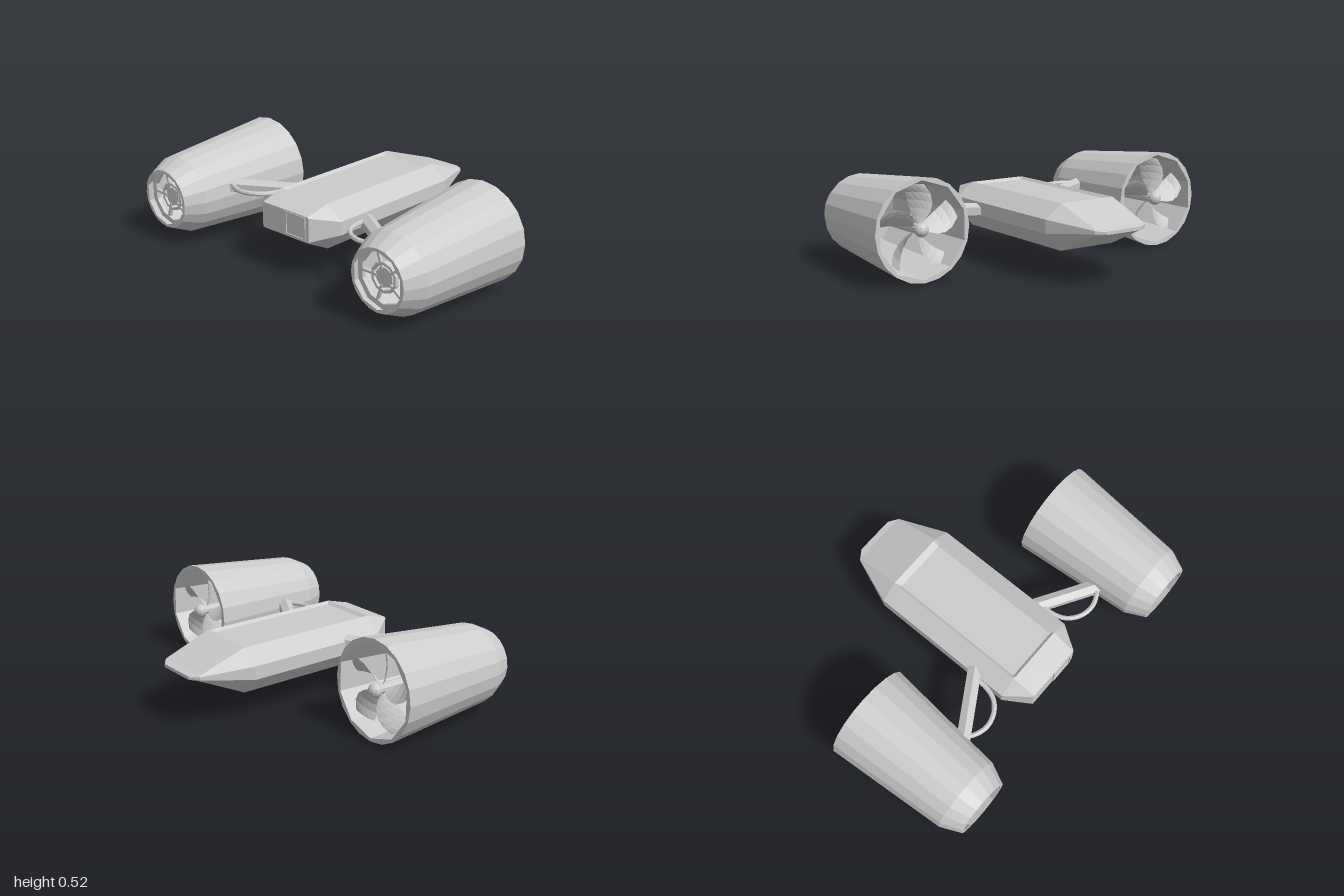
import * as THREE from 'three';

const material = new THREE.MeshStandardMaterial({ color: 0xcccccc, flatShading: true, side: THREE.DoubleSide });

function add(parent, name, geometry, x = 0, y = 0, z = 0) {
  const mesh = new THREE.Mesh(geometry, material);
  mesh.name = name;
  mesh.position.set(x, y, z);
  parent.add(mesh);
  return mesh;
}

// Cross-section of the hull: bevelled box with a sunken strip along the top
function section(z, side, top, yTop, yHigh, yLow, yBottom, inset = 0) {
  const f = top - 0.014, yf = yTop - inset;
  return [[side, yLow], [side, yHigh], [top, yTop], [f, yf], [-f, yf], [-top, yTop],
    [-side, yHigh], [-side, yLow], [-top, yBottom], [top, yBottom]].map(([x, y]) => [x, y, z]);
}

function loft(sections) {
  const p = [];
  const n = sections[0].length;
  for (let s = 0; s < sections.length - 1; s++) {
    const a = sections[s], b = sections[s + 1];
    for (let i = 0; i < n; i++) {
      const j = (i + 1) % n;
      p.push(...a[i], ...b[i], ...b[j], ...a[i], ...b[j], ...a[j]);
    }
  }
  const first = sections[0], last = sections[sections.length - 1];
  for (let i = 1; i < n - 1; i++) {
    p.push(...first[0], ...first[i], ...first[i + 1]);
    p.push(...last[0], ...last[i + 1], ...last[i]);
  }
  const g = new THREE.BufferGeometry();
  g.setAttribute('position', new THREE.Float32BufferAttribute(p, 3));
  g.computeVertexNormals();
  return g;
}

function polygon(radius, sides) {
  return Array.from({ length: sides }, (_, i) => {
    const a = (i / sides) * Math.PI * 2;
    return new THREE.Vector2(Math.sin(a) * radius, Math.cos(a) * radius);
  });
}

// Flat or extruded ring lying across the z axis
function ring(rOuter, nOuter, rInner, nInner, depth = 0) {
  const shape = new THREE.Shape(polygon(rOuter, nOuter));
  shape.holes.push(new THREE.Path(polygon(rInner, nInner)));
  return depth ? new THREE.ExtrudeGeometry(shape, { depth, bevelEnabled: false }) : new THREE.ShapeGeometry(shape);
}

// Surface of revolution around z, profile given as [radius, z]
function turned(profile, sides) {
  return new THREE.LatheGeometry(profile.map(([r, z]) => new THREE.Vector2(r, z)), sides).rotateX(Math.PI / 2);
}

// Fan blade: widens outward, with pitch easing off toward the tip
function blade() {
  const g = new THREE.PlaneGeometry(1, 1, 4, 5);
  const p = g.attributes.position;
  for (let i = 0; i < p.count; i++) {
    const u = p.getX(i), t = p.getY(i) + 0.5;
    const r = 0.02 + t * 0.2;
    const chord = (0.03 + 0.1 * Math.sin(t * 2.3)) * u;
    const pitch = 1.0 - 0.45 * t;
    const angle = (chord * Math.cos(pitch)) / Math.max(r, 0.05) + 0.35 * t * t;
    p.setXYZ(i, Math.sin(angle) * r, Math.cos(angle) * r, chord * Math.sin(pitch) + 0.03 * u * u);
  }
  g.computeVertexNormals();
  return g;
}

function engine(name) {
  const g = new THREE.Group();
  g.name = name;

  // Shell, faceted liner and the two end rims
  add(g, 'engineShell', turned([[0.26, 0], [0.206, 0.648], [0.157, 0.753]], 20));
  add(g, 'engineLiner', turned([[0.244, 0], [0.192, 0.63], [0.143, 0.753]], 10));
  add(g, 'rearRim', ring(0.26, 20, 0.244, 10));
  add(g, 'frontRim', ring(0.157, 20, 0.143, 10, 0.001), 0, 0, 0.752);

  // Rear fan
  const fan = new THREE.Group();
  fan.name = 'fan';
  fan.position.z = 0.06;
  g.add(fan);
  for (let i = 0; i < 5; i++) add(fan, 'fanBlade', blade()).rotation.z = (i / 5) * Math.PI * 2 + 0.3;
  add(g, 'fanHub', new THREE.SphereGeometry(0.036, 12, 8), 0, 0, 0.018);
  add(g, 'shaft', new THREE.CylinderGeometry(0.026, 0.026, 0.65, 10).rotateX(Math.PI / 2), 0, 0, 0.345);

  // Front grille
  const grille = new THREE.Group();
  grille.name = 'frontGrille';
  grille.position.z = 0.69;
  g.add(grille);
  add(grille, 'outerRing', ring(0.165, 10, 0.132, 10, 0.02));
  add(grille, 'innerRing', ring(0.076, 10, 0.062, 10, 0.02));
  add(grille, 'noseDisc', new THREE.CylinderGeometry(0.05, 0.055, 0.03, 10).rotateX(Math.PI / 2));
  for (let i = 0; i < 5; i++) {
    const spoke = add(grille, 'spoke', new THREE.BoxGeometry(0.012, 0.1, 0.018).translate(0, 0.092, 0.01));
    spoke.rotation.z = (i / 5) * Math.PI * 2 + 0.3;
  }
  return g;
}

export function createModel() {
  const model = new THREE.Group();
  model.name = 'twinEngineCraft';

  // Hull
  add(model, 'hull', loft([
    section(0.53, 0.16, 0.155, 0.345, 0.34, 0.215, 0.21),
    section(0.4, 0.252, 0.16, 0.38, 0.31, 0.24, 0.145),
    section(0.385, 0.252, 0.16, 0.38, 0.31, 0.24, 0.145, 0.014),
    section(-0.36, 0.252, 0.16, 0.38, 0.31, 0.24, 0.145, 0.014),
    section(-0.395, 0.252, 0.16, 0.38, 0.31, 0.24, 0.145),
    section(-0.65, 0.155, 0.15, 0.29, 0.285, 0.27, 0.263),
    section(-0.685, 0.107, 0.103, 0.283, 0.28, 0.27, 0.266),
  ]));

  // Raised hatch frame on the nose
  const frame = new THREE.Shape([[0, 0.215], [0.14, 0.215], [0.14, 0.34], [0, 0.34]].map(([x, y]) => new THREE.Vector2(x, y)));
  frame.holes.push(new THREE.Path([[0.01, 0.227], [0.01, 0.329], [0.128, 0.329], [0.128, 0.227]].map(([x, y]) => new THREE.Vector2(x, y))));
  add(model, 'noseHatch', new THREE.ExtrudeGeometry(frame, { depth: 0.006, bevelEnabled: false }), 0, 0, 0.529);

  // Engines with their struts and hose loops
  for (const side of [-1, 1]) {
    const label = side > 0 ? 'left' : 'right';
    const pod = engine(label + 'Engine');
    pod.position.set(side * 0.74, 0.261, -0.07);
    pod.rotation.x = 0.0155;
    model.add(pod);

    const y = side > 0 ? 0.262 : 0.297;
    const from = new THREE.Vector3(side * 0.225, y, 0.2), to = new THREE.Vector3(side * 0.545, y, 0.395);
    const strut = add(model, label + 'Strut', new THREE.CylinderGeometry(0.04, 0.04, from.distanceTo(to), 6));
    strut.position.lerpVectors(from, to, 0.5);
    strut.quaternion.setFromUnitVectors(new THREE.Vector3(0, 1, 0), to.clone().sub(from).normalize());

    const path = [[0.265, 0.25], [0.268, 0.31], [0.29, 0.375], [0.345, 0.425], [0.42, 0.444], [0.49, 0.425], [0.535, 0.39]];
    const curve = new THREE.CatmullRomCurve3(path.map(([x, z]) => new THREE.Vector3(side * x, y + 0.012, z)));
    add(model, label + 'Hose', new THREE.TubeGeometry(curve, 18, 0.013, 8));
  }
  return model;
}
